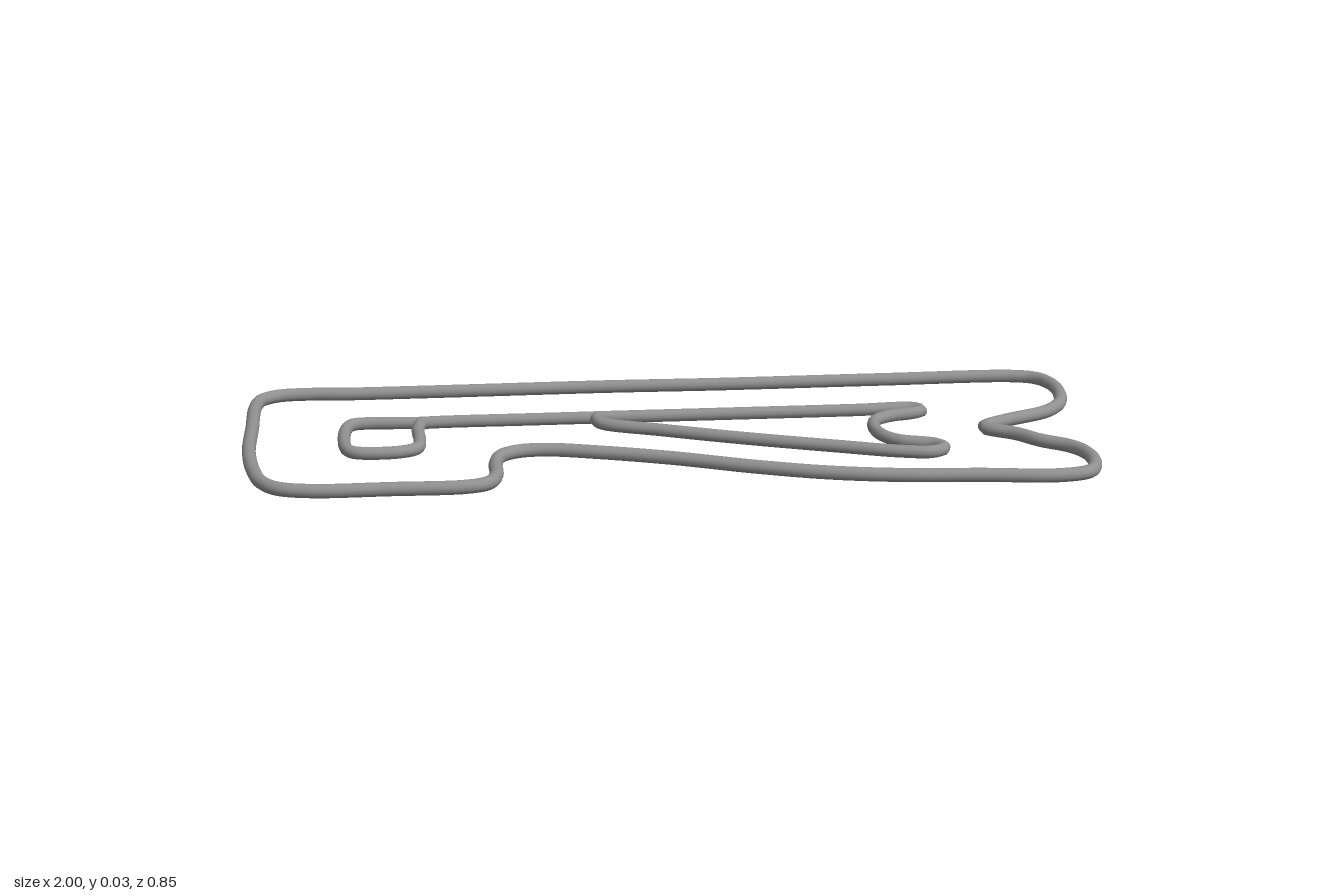
import * as THREE from 'three';

const metal = new THREE.MeshStandardMaterial({ color: 0x909090 });
metal.name = 'grey wire';

// Round wire lying flat, following [x, z] points given in hundredths of a unit... scaled by 1/1000
function wire(name, points, radius, closed) {
  const path = new THREE.CatmullRomCurve3(
    points.map(([x, z]) => new THREE.Vector3(x / 1000, 0.016, z / 1000)), closed, 'centripetal');
  const group = new THREE.Group();
  group.name = name;
  const tube = new THREE.Mesh(new THREE.TubeGeometry(path, points.length * 8, radius, 14, closed), metal);
  tube.name = name + 'Tube';
  group.add(tube);
  // Rounded ends on open wires
  if (!closed) for (const t of [0, 1]) {
    const cap = new THREE.Mesh(new THREE.SphereGeometry(radius, 14, 10), metal);
    cap.name = name + 'End';
    cap.position.copy(path.getPoint(t));
    group.add(cap);
  }
  return group;
}

export function createModel() {
  const model = new THREE.Group();
  model.name = 'wireOutline';

  // Outer contour, anticlockwise from the back left corner
  model.add(wire('outerFrame', [
    [-968, -372], [-982, -320], [-984, -130], [-984, 56], [-968, 200], [-946, 286], [-909, 334], [-834, 358],
    [-663, 361], [-492, 361], [-444, 340], [-424, 286], [-422, 200], [-406, 139], [-364, 109], [-299, 104],
    [-182, 136], [-21, 195], [166, 281], [326, 340], [487, 374], [663, 390], [834, 410], [909, 388],
    [936, 324], [934, 246], [909, 195], [850, 144], [807, 88], [741, 30], [802, -20], [914, -83],
    [962, -147], [984, -238], [982, -318], [957, -374], [904, -398], [567, -401], [166, -399], [-128, -405],
    [-556, -402], [-770, -403], [-850, -410], [-930, -402],
  ], 0.016, true));

  // Small rounded window with its right side closed against the rail
  model.add(wire('smallLoop', [
    [-586, -138], [-594, -80], [-591, 5], [-599, 65], [-636, 88], [-701, 93], [-743, 82], [-760, 55],
    [-762, -105], [-746, -140], [-717, -147], [-652, -144], [-588, -138],
  ], 0.015, false));

  // Straight rail joining both loops
  model.add(wire('rail', [
    [-588, -138], [-530, -142], [-348, -142], [-171, -142], [-160, -142],
  ], 0.015, false));

  // Long triangular loop with a hooked right end
  model.add(wire('triangularLoop', [
    [-171, -142], [139, -142], [460, -142], [602, -145], [618, -122], [593, -104], [540, -88], [497, -56],
    [481, 3], [492, 72], [524, 115], [602, 150], [616, 182], [583, 207], [513, 197], [380, 147],
    [166, 61], [-21, -24], [-160, -94], [-169, -138],
  ], 0.015, false));

  return model;
}
